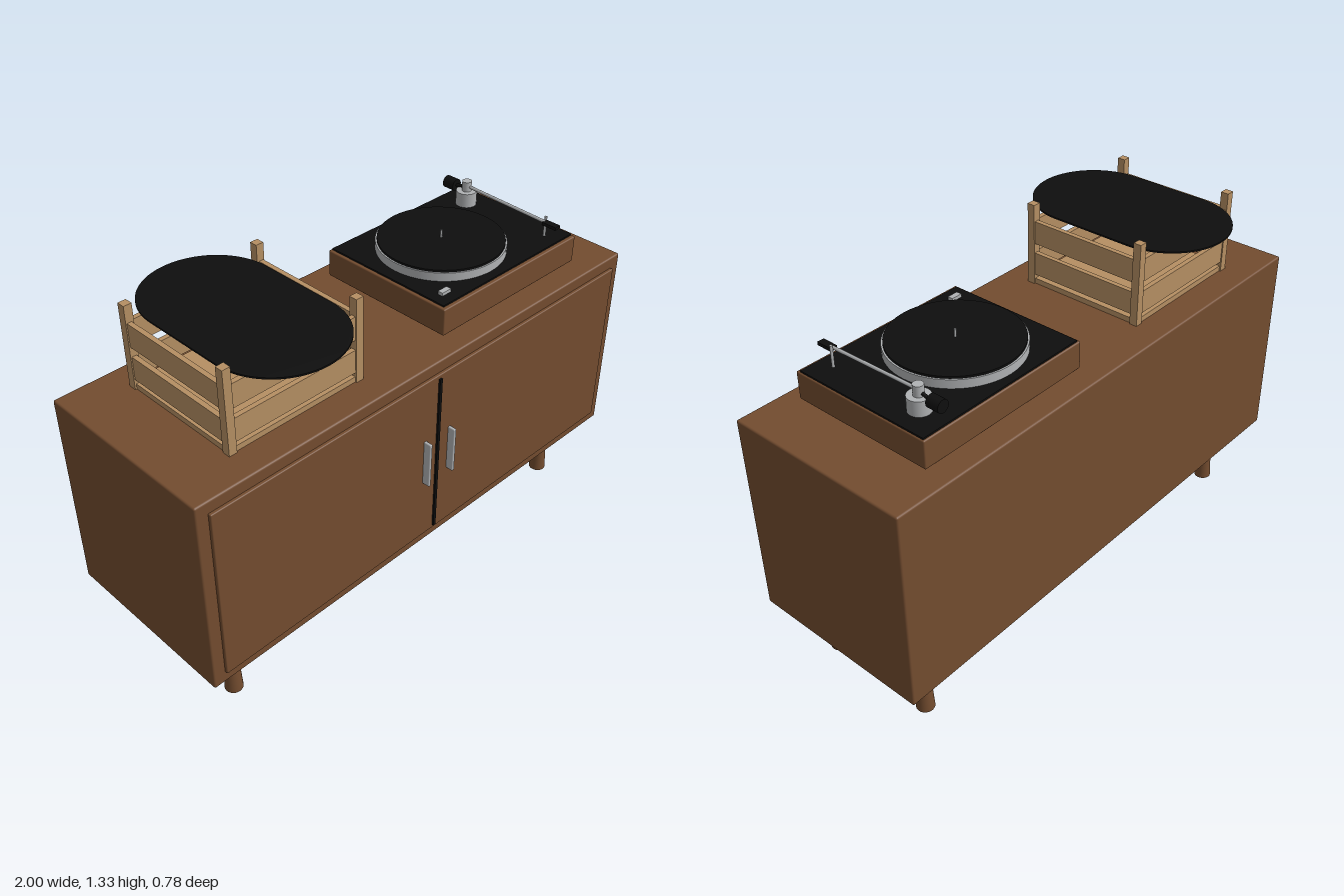
import * as THREE from 'three';
import { RoundedBoxGeometry } from 'three/addons/geometries/RoundedBoxGeometry.js';

const mat = (name, color) => {
  const m = new THREE.MeshStandardMaterial({ color });
  m.name = name;
  return m;
};

export function createModel() {
  const walnut = mat('walnut', 0x734c2f);
  const pine = mat('pine', 0xb58f63);
  const black = mat('black', 0x0e0e0e);
  const metal = mat('metal', 0xb0b2b4);

  const add = (parent, name, geometry, material, x, y, z) => {
    const mesh = new THREE.Mesh(geometry, material);
    mesh.name = name;
    mesh.position.set(x, y, z);
    parent.add(mesh);
    return mesh;
  };
  // Boxes by their limits on each axis
  const box = (parent, name, material, [x0, x1], [y0, y1], [z0, z1], r = 0) => {
    const s = [x1 - x0, y1 - y0, z1 - z0];
    const g = r ? new RoundedBoxGeometry(...s, 2, r) : new THREE.BoxGeometry(...s);
    return add(parent, name, g, material, (x0 + x1) / 2, (y0 + y1) / 2, (z0 + z1) / 2);
  };
  const cyl = (parent, name, material, rTop, rBottom, y0, y1, x, z) =>
    add(parent, name, new THREE.CylinderGeometry(rTop, rBottom, y1 - y0, rTop > 0.1 ? 64 : 24), material, x, (y0 + y1) / 2, z);
  const group = (parent, name) => {
    const g = new THREE.Group();
    g.name = name;
    parent.add(g);
    return g;
  };

  const model = new THREE.Group();
  model.name = 'recordCabinet';

  // Sideboard with door panel, centre gap and handles
  const cabinet = group(model, 'cabinet');
  box(cabinet, 'body', walnut, [-1, 1], [0.25, 1.016], [-0.357, 0.349], 0.007);
  box(cabinet, 'doorPanel', walnut, [-0.955, 0.955], [0.295, 0.972], [0.33, 0.361], 0.004);
  box(cabinet, 'doorGap', black, [-0.006, 0.006], [0.31, 0.958], [0.359, 0.368]);
  for (const s of [-1, 1]) {
    box(cabinet, 'handle', metal, [s * 0.06 - 0.006, s * 0.06 + 0.006], [0.544, 0.727], [0.358, 0.39], 0.004);
    for (const t of [-1, 1]) cyl(cabinet, 'leg', walnut, 0.018, 0.033, 0, 0.255, s * 0.83, t * 0.215 - 0.004);
  }

  // Slatted crate
  const crate = group(model, 'crate');
  const cx = -0.51, cz = -0.004, hx = 0.275, hz = 0.246, post = 0.03;
  const inset = 0.004, thick = 0.018;
  for (const s of [-1, 1]) {
    for (const t of [-1, 1]) {
      add(crate, 'cratePost', new THREE.BoxGeometry(post, 0.309, post), pine,
        cx + s * (hx - post / 2), 1.1705, cz + t * (hz - post / 2));
    }
    for (const [y0, y1] of [[1.053, 1.139], [1.176, 1.262]]) {
      const h = y1 - y0, y = (y0 + y1) / 2;
      add(crate, 'longSlat', new THREE.BoxGeometry(2 * (hx - post), h, thick), pine,
        cx, y, cz + s * (hz - inset - thick / 2));
      add(crate, 'sideSlat', new THREE.BoxGeometry(thick, h, 2 * (hz - post)), pine,
        cx + s * (hx - inset - thick / 2), y, cz);
    }
  }
  box(crate, 'crateFloor', pine, [cx - hx + 0.006, cx + hx - 0.006], [1.016, 1.036], [cz - hz + 0.006, cz + hz - 0.006]);

  // Overlapping records fanned out flat across the crate
  const r = 0.23, spread = 0.155;
  const outline = new THREE.Shape();
  outline.absarc(0, spread, r, 0, Math.PI, false);
  outline.absarc(0, -spread, r, Math.PI, Math.PI * 2, false);
  outline.closePath();
  const recordGeometry = new THREE.ExtrudeGeometry(outline, { depth: 0.006, bevelEnabled: false, curveSegments: 40 });
  recordGeometry.rotateX(-Math.PI / 2);
  add(crate, 'records', recordGeometry, black, cx, 1.276, -0.003);

  // Turntable plinth
  const deck = group(model, 'turntable');
  box(deck, 'plinth', walnut, [0.108, 0.81], [1.03, 1.132], [-0.279, 0.273], 0.005);
  box(deck, 'topPlate', black, [0.12, 0.805], [1.13, 1.138], [-0.272, 0.258]);
  for (const x of [0.167, 0.752]) {
    for (const z of [-0.218, 0.212]) cyl(deck, 'foot', black, 0.028, 0.028, 1.014, 1.034, x, z);
  }
  box(deck, 'startButton', metal, [0.16, 0.202], [1.136, 1.15], [0.195, 0.216]);

  // Platter
  const px = 0.399, pz = -0.009;
  cyl(deck, 'platter', metal, 0.233, 0.233, 1.138, 1.17, px, pz);
  cyl(deck, 'record', black, 0.227, 0.227, 1.17, 1.178, px, pz);
  cyl(deck, 'spindle', metal, 0.004, 0.004, 1.17, 1.206, px, pz);

  // Tonearm
  const ax = 0.713, az = -0.166;
  const arm = group(deck, 'tonearm');
  cyl(arm, 'armBase', metal, 0.039, 0.039, 1.138, 1.192, ax, az);
  cyl(arm, 'armPivot', metal, 0.018, 0.018, 1.19, 1.23, ax, az);
  const rod = (name, material, radius, y0, z0, y1, z1) => {
    const path = new THREE.LineCurve3(new THREE.Vector3(ax, y0, z0), new THREE.Vector3(ax, y1, z1));
    add(arm, name, new THREE.TubeGeometry(path, 1, radius, 12), material, 0, 0, 0);
  };
  rod('armTube', metal, 0.006, 1.21, az, 1.2, 0.205);
  rod('counterweightStem', black, 0.006, 1.206, az, 1.194, -0.22);
  const weight = cyl(arm, 'counterweight', black, 0.023, 0.023, 1.17, 1.219, ax, -0.24);
  weight.rotation.x = Math.PI / 2;
  box(arm, 'headshell', black, [ax - 0.013, ax + 0.013], [1.191, 1.203], [0.2, 0.26]);
  cyl(arm, 'armRest', metal, 0.005, 0.005, 1.136, 1.215, ax + 0.012, 0.197);

  return model;
}
